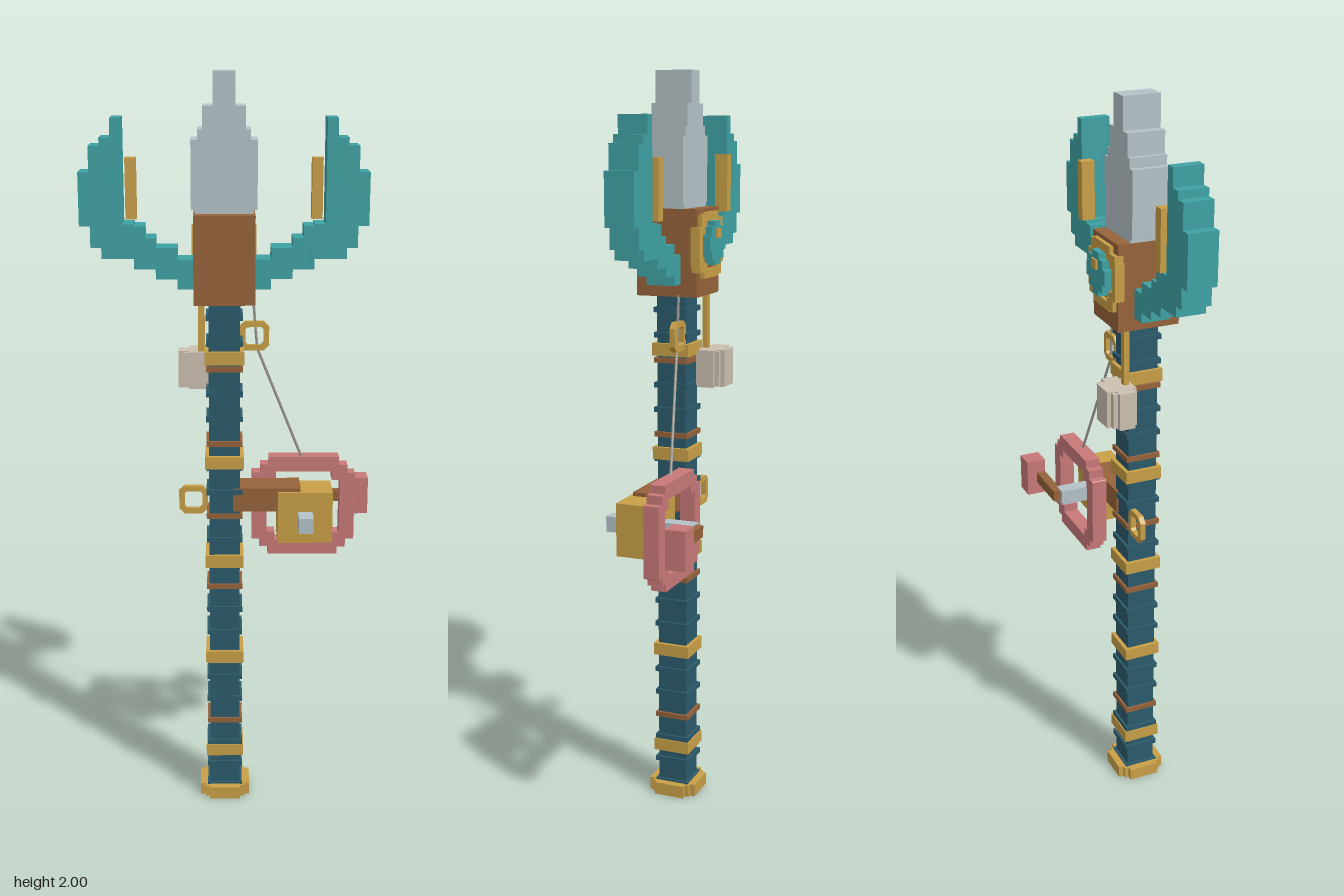
import * as THREE from 'three';

const mat = (name, color) => {
  const m = new THREE.MeshStandardMaterial({ color });
  m.name = name;
  return m;
};

export function createModel() {
  const root = new THREE.Group();
  const teal = mat('teal', 0x3fa2a4), navy = mat('deepBlue', 0x2b5a6b), gold = mat('gold', 0xc8a047),
    brown = mat('brown', 0x96633a), silver = mat('silver', 0xb4c2c7), pink = mat('pink', 0xc87878),
    bone = mat('bone', 0xcbc0b0), cord = mat('cord', 0xa09c94);

  const add = (parent, name, geo, material) => {
    const m = new THREE.Mesh(geo, material);
    m.name = name;
    parent.add(m);
    return m;
  };
  // box from its minimum and maximum corners
  const box = (name, material, x0, x1, y0, y1, z0, z1, parent = root) => {
    const m = add(parent, name, new THREE.BoxGeometry(x1 - x0, y1 - y0, z1 - z0), material);
    m.position.set((x0 + x1) / 2, (y0 + y1) / 2, (z0 + z1) / 2);
    return m;
  };
  const group = (name) => {
    const g = new THREE.Group();
    g.name = name;
    root.add(g);
    return g;
  };
  // stepped octagon outline: corner points of one quadrant, mirrored around
  const stepped = (quadrant) => {
    const pts = [];
    for (let q = 0; q < 4; q++) {
      const c = [1, 0, -1, 0][q], s = [0, 1, 0, -1][q];
      for (const [x, y] of quadrant) pts.push(new THREE.Vector2(x * c - y * s, x * s + y * c));
    }
    return pts;
  };
  const plate = (outer, inner, depth) => {
    const shape = new THREE.Shape(stepped(outer));
    if (inner) shape.holes.push(new THREE.Path(stepped(inner).reverse()));
    return new THREE.ExtrudeGeometry(shape, { depth, bevelEnabled: false });
  };

  const X = -0.0175, Z = 0.04; // staff axis
  const band = (name, material, r, y0, y1, parent) =>
    box(name, material, X - r, X + r, y0, y1, Z - r, Z + r, parent);

  // staff with ridges, every third one brown
  const staff = group('staff');
  band('pole', navy, 0.041, 0.01, 1.45, staff);
  for (let i = 0; i < 21; i++) {
    const y = 0.033 + i * 0.0676, isBrown = i % 3 === 0 && i > 0;
    band(isBrown ? 'leatherBand' : 'ridge', isBrown ? brown : navy, 0.048, y - 0.007, y + 0.007, staff);
  }
  for (const y of [0.145, 0.432, 0.715, 0.995, 1.279]) band('goldBand', gold, 0.0515, y - 0.017, y + 0.017, staff);

  // foot cap
  box('footCap', gold, X - 0.069, X + 0.069, 0, 0.035, Z - 0.043, Z + 0.043);
  box('footCapCross', gold, X - 0.043, X + 0.043, 0, 0.035, Z - 0.069, Z + 0.069);
  band('footCapCore', gold, 0.055, 0.001, 0.034);

  // head block and stepped blade
  box('headBlock', brown, -0.096, 0.061, 1.425, 1.652, -0.047, 0.122);
  const blade = group('blade');
  for (const [w, y0, y1] of [[0.075, 1.64, 1.665], [0.084, 1.662, 1.835], [0.067, 1.835, 1.86], [0.054, 1.86, 1.917], [0.028, 1.917, 2]])
    box('bladeStep', silver, X - w, X + w, y0, y1, -0.012, 0.088, blade);

  // curved horns built as columns from the outside inwards
  const columns = [[1.62, 1.755], [1.565, 1.82], [1.537, 1.84], [1.537, 1.888], [1.537, 1.625], [1.51, 1.62],
    [1.51, 1.59], [1.485, 1.565], [1.485, 1.565], [1.458, 1.535], [1.458, 1.535]];
  for (const s of [-1, 1]) {
    const horn = group(s < 0 ? 'rightHorn' : 'leftHorn');
    columns.forEach(([y0, y1], i) => {
      const a = X + s * (0.3675 - i * 0.0275), b = a - s * 0.0275;
      box('hornColumn', teal, Math.min(a, b), Math.max(a, b), y0, y1, -0.002, 0.077, horn);
    });
    const c = X + s * 0.239;
    box('hornInlay', gold, c - 0.014, c + 0.014, 1.63, 1.785, -0.016, 0.02, horn);
  }

  // medallion on the back of the head
  const medal = group('medallion');
  add(medal, 'medallionRing', plate(
    [[0.085, -0.05], [0.085, 0.05], [0.068, 0.05], [0.068, 0.08], [0.05, 0.08]],
    [[0.062, -0.03], [0.062, 0.03], [0.045, 0.03], [0.045, 0.05], [0.03, 0.05]], 0.025), gold).position.set(X, 1.557, -0.058);
  add(medal, 'medallionGem', plate(
    [[0.057, -0.02], [0.057, 0.02], [0.042, 0.02], [0.042, 0.042], [0.02, 0.042]], null, 0.03), teal).position.set(X, 1.563, -0.075);
  box('gemStud', gold, X - 0.014, X + 0.014, 1.575, 1.6, -0.08, -0.07, medal);

  // hanging charm
  const charm = group('charm');
  box('charmStrap', gold, -0.087, -0.069, 1.27, 1.44, -0.027, -0.012, charm);
  box('charmWide', bone, -0.14, -0.02, 1.175, 1.275, -0.062, -0.018, charm);
  box('charmDeep', bone, -0.112, -0.045, 1.175, 1.275, -0.085, -0.003, charm);
  box('charmCore', bone, -0.128, -0.032, 1.178, 1.272, -0.074, -0.008, charm);

  // line guides
  for (const [x, y] of [[0.062, 1.322], [-0.102, 0.866]]) {
    add(root, 'lineGuide', plate(
      [[0.039, -0.024], [0.039, 0.024], [0.024, 0.04]],
      [[0.024, -0.018], [0.024, 0.018], [0.016, 0.026]], 0.015), gold).position.set(x, y, -0.002);
  }

  // reel: arm, housing, axle, rim and crank
  const reel = group('reel');
  box('reelArm', brown, 0.005, 0.186, 0.857, 0.922, -0.008, 0.083, reel);
  box('reelHousing', gold, 0.125, 0.272, 0.77, 0.912, -0.012, 0.092, reel);
  box('reelAxle', silver, 0.179, 0.218, 0.816, 0.858, -0.1, 0.146, reel);
  add(reel, 'reelRim', plate(
    [[0.141, -0.095], [0.141, 0.095], [0.12, 0.095], [0.12, 0.118], [0.097, 0.118], [0.097, 0.139]],
    [[0.1, -0.075], [0.1, 0.075], [0.078, 0.075], [0.078, 0.098]], 0.042), pink).position.set(0.199, 0.838, -0.057);
  box('crankArm', brown, 0.193, 0.345, 0.824, 0.855, -0.119, -0.094, reel);
  box('crankKnob', pink, 0.329, 0.385, 0.788, 0.892, -0.148, -0.093, reel);

  // fishing line from the reel through the upper guide to the head
  const path = [[0.2, 0.96, -0.03], [0.07, 1.288, 0.005], [0.058, 1.43, 0.005]].map((p) => new THREE.Vector3(...p));
  for (let i = 0; i < 2; i++) {
    const dir = path[i + 1].clone().sub(path[i]);
    const seg = add(root, 'line', new THREE.CylinderGeometry(0.004, 0.004, dir.length(), 6), cord);
    seg.position.addVectors(path[i], path[i + 1]).multiplyScalar(0.5);
    seg.quaternion.setFromUnitVectors(new THREE.Vector3(0, 1, 0), dir.normalize());
  }
  return root;
}
